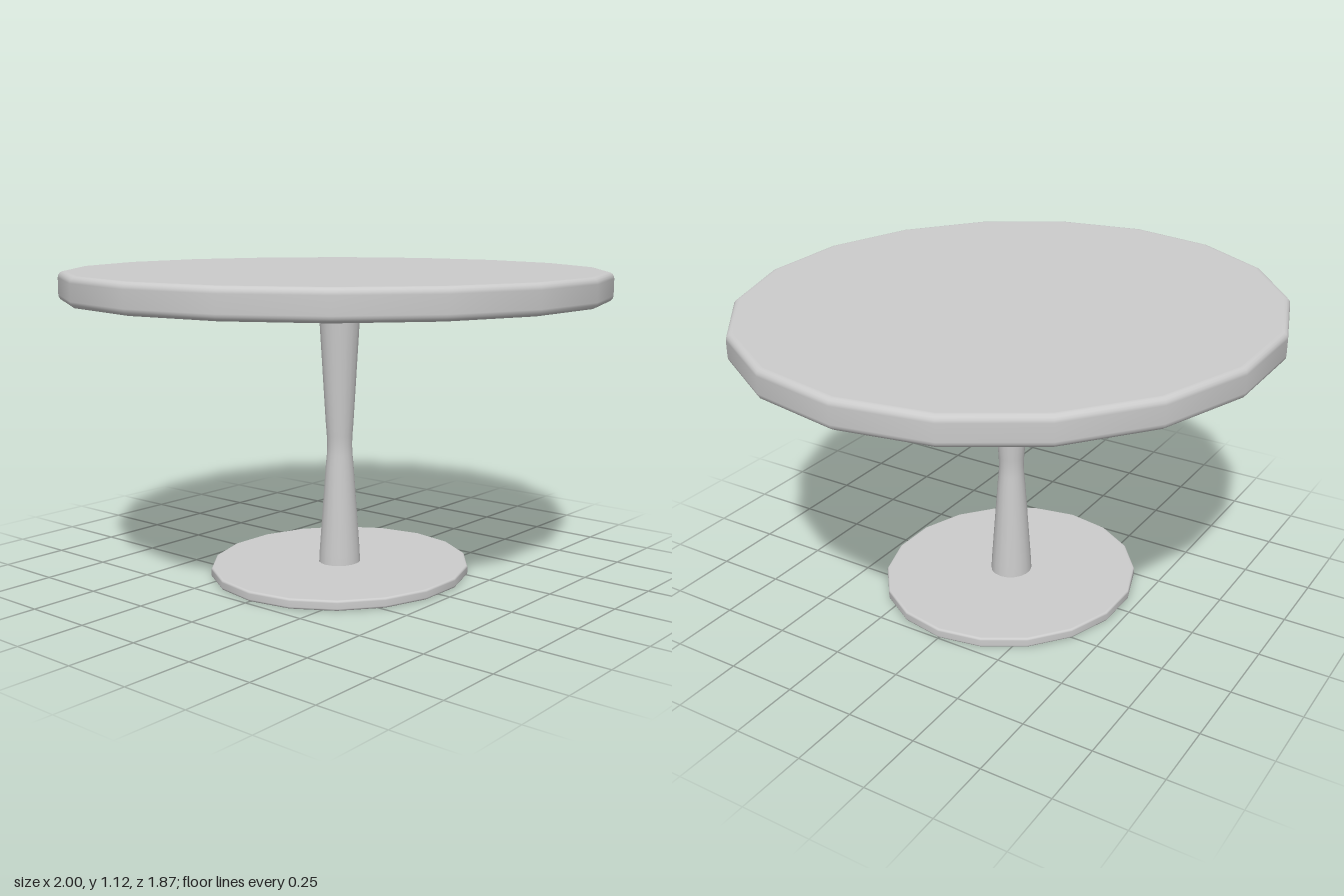
import * as THREE from 'three';

const material = new THREE.MeshStandardMaterial({ color: 0xcccccc });
const SIDES = 18;
const DEPTH = 0.947; // plan is slightly oval, narrower in z

// Lathe a profile (bottom to top) with a corner pointing along x
function turned(name, profile, sides = SIDES) {
  const points = profile.map(([r, y]) => new THREE.Vector2(r, y));
  const geometry = new THREE.LatheGeometry(points, sides, Math.PI / 2);
  geometry.scale(1, 1, DEPTH);
  const mesh = new THREE.Mesh(geometry, material);
  mesh.name = name;
  return mesh;
}

// Flat disc with a rounded rim; extra rings keep the faces flat-shaded
function discProfile(radius, height, bevel) {
  const profile = [[0, 0], [radius - bevel - 0.004, 0]];
  const arc = 4;
  for (const [cy, start] of [[bevel, -Math.PI / 2], [height - bevel, 0]]) {
    for (let i = 0; i <= arc; i++) {
      const a = start + (i / arc) * Math.PI / 2;
      profile.push([radius - bevel + bevel * Math.cos(a), cy + bevel * Math.sin(a)]);
    }
  }
  profile.push([radius - bevel - 0.004, height], [0, height]);
  return profile;
}

export function createModel() {
  const table = new THREE.Group();
  table.name = 'pedestalTable';

  // Thick top, tilted very slightly down toward +x
  const top = turned('tableTop', discProfile(1, 0.102, 0.022));
  top.position.y = 1.01;
  top.rotation.z = -0.0062;
  table.add(top);

  // Waisted column
  const column = turned('column', [
    [0.08, 0.02], [0.077, 0.08], [0.053, 0.4], [0.049, 0.44], [0.0475, 0.475],
    [0.049, 0.51], [0.053, 0.56], [0.077, 0.95], [0.08, 1.02],
  ]);
  column.position.x = 0.004;
  table.add(column);

  // Thin foot disc
  const foot = turned('footDisc', discProfile(0.49, 0.036, 0.008));
  foot.position.x = 0.008;
  table.add(foot);

  return table;
}
